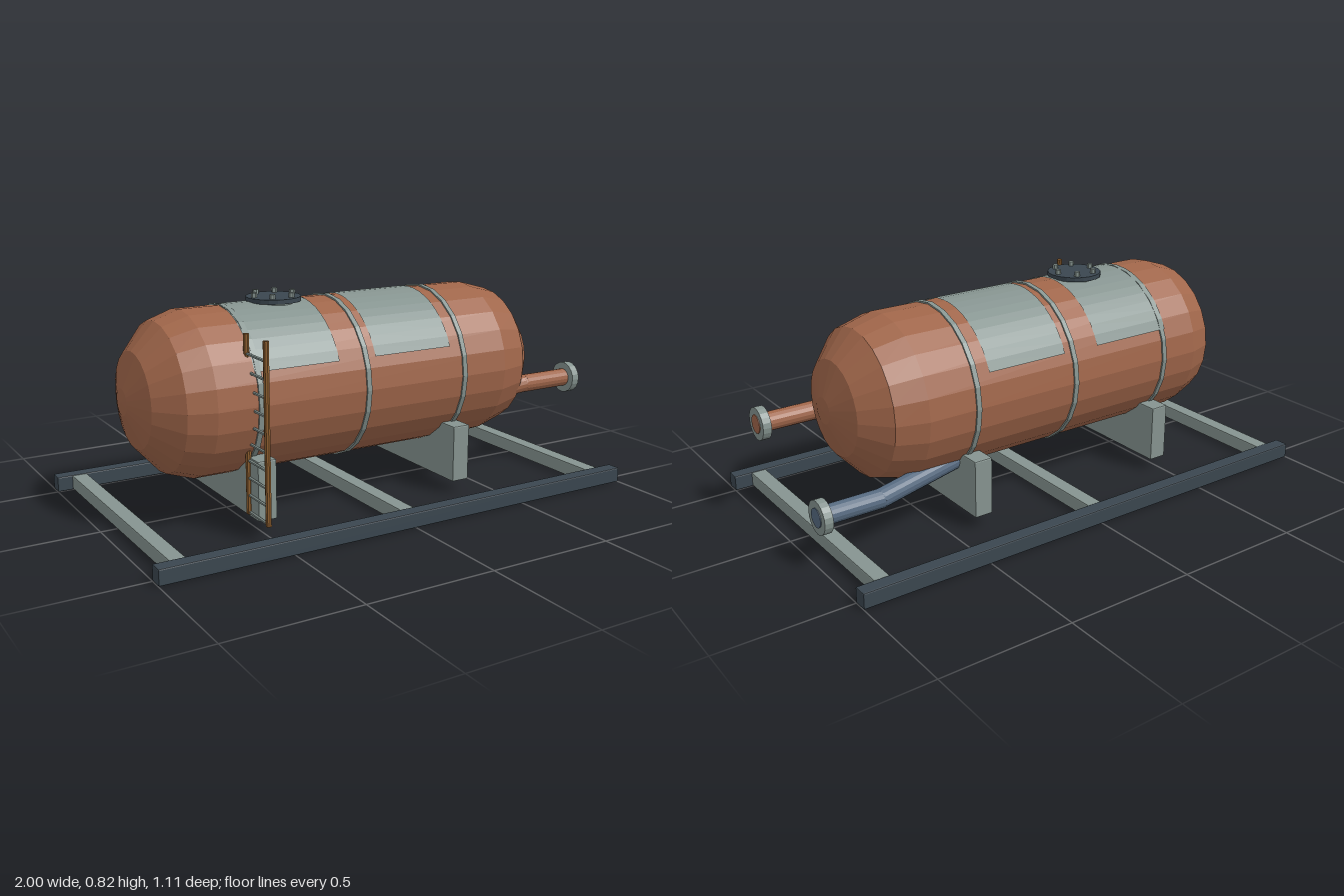
import * as THREE from 'three';
import { RoundedBoxGeometry } from 'three/addons/geometries/RoundedBoxGeometry.js';

const mat = (name, color, extra = {}) => {
  const m = new THREE.MeshStandardMaterial({ color, ...extra });
  m.name = name;
  return m;
};

export function createModel() {
  const rust = mat('rust paint', 0xa0664a, { flatShading: true });
  const grey = mat('grey steel', 0x869490, { flatShading: true, side: THREE.DoubleSide });
  const dark = mat('dark steel', 0x3a464f, { flatShading: true });
  const blue = mat('blue pipe', 0x566a80, { flatShading: true });
  const brass = mat('ladder rail', 0x8f6030, { flatShading: true });

  const root = new THREE.Group();
  root.name = 'skidTank';
  const AXIS = 0.47; // height of the tank axis

  const add = (name, geo, material, x = 0, y = 0, z = 0, parent = root) => {
    const m = new THREE.Mesh(geo, material);
    m.name = name;
    m.position.set(x, y, z);
    parent.add(m);
    return m;
  };
  const block = (name, material, w, h, d, x, y, z, bevel = 0.005) =>
    add(name, new RoundedBoxGeometry(w, h, d, 1, bevel), material, x, y, z);
  // Cylinder between two points
  const rod = (name, material, a, b, r, sides, parent = root) => {
    const p = new THREE.Vector3(...a), q = new THREE.Vector3(...b);
    const dir = q.clone().sub(p);
    const m = add(name, new THREE.CylinderGeometry(r, r, dir.length(), sides), material, 0, 0, 0, parent);
    m.position.copy(p).add(q).multiplyScalar(0.5);
    m.quaternion.setFromUnitVectors(new THREE.Vector3(0, 1, 0), dir.normalize());
    return m;
  };

  // Tank shell with domed ends, turned around the x axis
  const profile = [[0, -0.9], [0.05, -0.897], [0.18, -0.855], [0.28, -0.765], [0.313, -0.665],
    [0.313, 0.585], [0.28, 0.705], [0.18, 0.797], [0.05, 0.838], [0, 0.841]]
    .map(([r, x]) => new THREE.Vector2(r, x));
  add('tankShell', new THREE.LatheGeometry(profile, 24).rotateZ(-Math.PI / 2), rust, 0, AXIS);

  // Steel bands
  for (const x of [-0.5, -0.055, 0.385])
    add('tankBand', new THREE.CylinderGeometry(0.319, 0.319, 0.02, 24).rotateZ(-Math.PI / 2), grey, x, AXIS);

  // Cladding plates over the top
  for (const [x0, x1] of [[-0.515, -0.17], [-0.015, 0.325]]) {
    const g = new THREE.CylinderGeometry(0.316, 0.316, x1 - x0, 18, 1, true, Math.PI * 1.125, Math.PI * 0.75);
    add('claddingPlate', g.rotateZ(-Math.PI / 2), grey, (x0 + x1) / 2, AXIS);
  }

  // Manhole with bolted lid
  const hatch = new THREE.Group();
  hatch.name = 'manhole';
  hatch.position.set(-0.285, 0, 0);
  root.add(hatch);
  add('manholeNeck', new THREE.CylinderGeometry(0.085, 0.085, 0.06, 20), grey, 0, 0.755, 0, hatch);
  add('manholeLid', new THREE.CylinderGeometry(0.105, 0.105, 0.017, 20), dark, 0, 0.791, 0, hatch);
  for (let i = 0; i < 6; i++) {
    const a = i * Math.PI / 3;
    add('lidBolt', new THREE.CylinderGeometry(0.011, 0.011, 0.02, 6), grey,
      0.08 * Math.cos(a), 0.807, 0.08 * Math.sin(a), hatch);
  }

  // Skid frame
  for (const s of [-1, 1])
    block('skidRail', dark, 2, 0.06, 0.056, 0, 0.03, s * 0.525);
  for (const x of [-0.91, -0.005, 0.9])
    block('crossBeam', grey, 0.06, 0.056, 1.0, x, 0.03, 0);

  // Saddles
  for (const x of [-0.485, 0.372])
    block('saddle', grey, 0.075, 0.225, 0.638, x, 0.16, 0);

  // Ladder
  const ladder = new THREE.Group();
  ladder.name = 'ladder';
  root.add(ladder);
  for (const z of [0.25, 0.4])
    rod('ladderRail', brass, [-0.525, 0.06, z], [-0.525, 0.723, z], 0.011, 8, ladder);
  for (let i = 0; i < 10; i++) {
    const y = 0.067 + i * 0.065;
    rod('ladderRung', grey, [-0.525, y, 0.25], [-0.525, y, 0.4], 0.006, 6, ladder);
  }

  // Flanged outlet pipes, each with an elbow running into the tank
  const outlet = (name, material, y, z, inner) => {
    const g = new THREE.Group();
    g.name = name;
    root.add(g);
    rod('pipeEnd', material, [0.75, y, z], [1, y, z], 0.036, 16, g);
    add('pipeElbow', new THREE.SphereGeometry(0.036, 16, 10), material, 0.75, y, z, g);
    rod('pipeRun', material, [0.75, y, z], inner, 0.036, 16, g);
    rod('pipeFlange', grey, [0.964, y, z], [0.997, y, z], 0.063, 20, g);
  };
  outlet('frontOutlet', rust, 0.378, 0.232, [0.45, 0.34, 0.19]);
  outlet('backOutlet', blue, 0.195, -0.232, [0.4, 0.235, -0.18]);

  return root;
}
